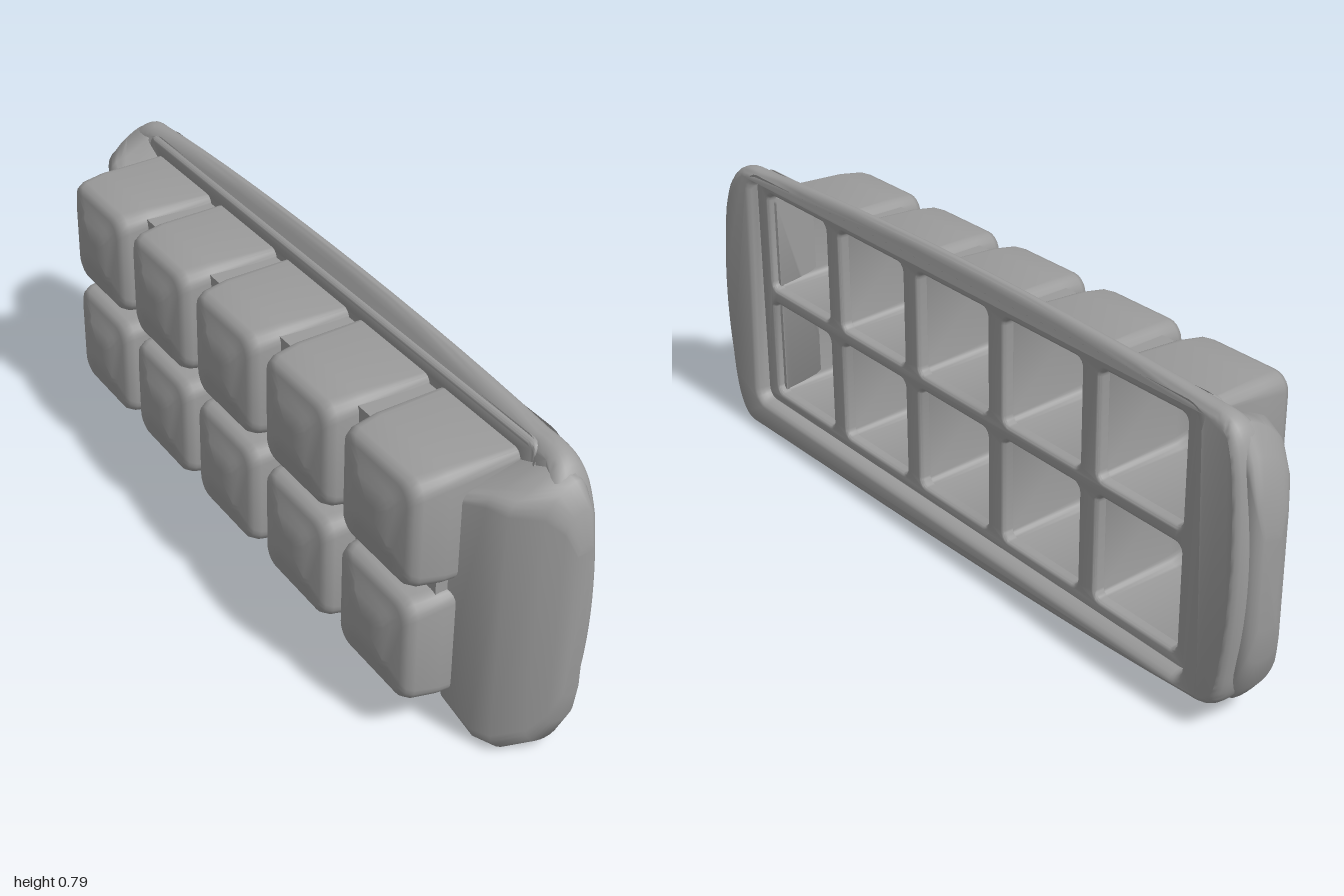
import * as THREE from 'three';
import { toCreasedNormals } from 'three/addons/utils/BufferGeometryUtils.js';

const material = new THREE.MeshStandardMaterial({ color: 0x9c9c9c, side: THREE.DoubleSide });
const clamp01 = t => THREE.MathUtils.clamp(t, 0, 1);

// Rounded rectangle as a loop of 2D points
function roundRect(cx, cy, hw, hh, r, n = 5) {
  const pts = [];
  const signs = [[1, 1], [-1, 1], [-1, -1], [1, -1]];
  signs.forEach(([sx, sy], q) => {
    for (let i = 0; i <= n; i++) {
      const a = (q + i / n) * Math.PI / 2;
      pts.push([cx + sx * (hw - r) + r * Math.cos(a), cy + sy * (hh - r) + r * Math.sin(a)]);
    }
  });
  return pts;
}

// Skin over equal-length rings, capped at both ends, always facing outward
function loft(rings, crease) {
  const n = rings[0].length;
  const pos = rings.flat(2);
  const idx = [];
  for (let i = 0; i < rings.length - 1; i++) {
    for (let j = 0; j < n; j++) {
      const a = i * n + j, b = i * n + (j + 1) % n;
      idx.push(a, b, a + n, b, b + n, a + n);
    }
  }
  const last = (rings.length - 1) * n;
  for (let j = 1; j < n - 1; j++) {
    idx.push(0, j + 1, j, last, last + j, last + j + 1);
  }
  let volume = 0;
  const [a, b, c] = [0, 1, 2].map(() => new THREE.Vector3());
  for (let k = 0; k < idx.length; k += 3) {
    [a, b, c].forEach((v, m) => v.fromArray(pos, idx[k + m] * 3));
    volume += a.dot(b.cross(c));
  }
  if (volume < 0) idx.reverse();
  const g = new THREE.BufferGeometry();
  g.setAttribute('position', new THREE.Float32BufferAttribute(pos, 3));
  g.setIndex(idx);
  return toCreasedNormals(g, crease);
}

function add(group, name, geometry) {
  const mesh = new THREE.Mesh(geometry, material);
  mesh.name = name;
  group.add(mesh);
  return mesh;
}

// Extrude a (-z, y) outline along +x from x0, with rounded edges
function extrudeX(shape, x0, depth, bevelThickness, bevelSize) {
  const g = new THREE.ExtrudeGeometry(shape, {
    depth, bevelThickness, bevelSize, bevelOffset: -bevelSize, bevelSegments: 4, curveSegments: 14,
  });
  g.rotateY(Math.PI / 2);
  g.translate(x0 + bevelThickness, 0, 0);
  return g;
}

const toPath = pts => new THREE.Path(pts.map(p => new THREE.Vector2(...p)));

export function createModel() {
  const tray = new THREE.Group();
  tray.name = 'iceCubeTray';
  const columns = [0.665, 0.338, 0.011, -0.316, -0.643];
  const rows = [0.257, 0.565];

  // Bowed rim with rounded ends
  const outline = new THREE.Shape();
  outline.moveTo(-0.88, 0.0);
  outline.bezierCurveTo(-0.5, 0.01, 0.3, 0.01, 0.86, 0.06);
  outline.bezierCurveTo(0.93, 0.06, 0.95, 0.1, 0.96, 0.17);
  outline.quadraticCurveTo(1.0, 0.4, 0.96, 0.64);
  outline.bezierCurveTo(0.94, 0.73, 0.92, 0.755, 0.85, 0.755);
  outline.bezierCurveTo(0.4, 0.80, -0.4, 0.80, -0.82, 0.755);
  outline.bezierCurveTo(-0.92, 0.76, -0.95, 0.73, -0.975, 0.62);
  outline.quadraticCurveTo(-1.0, 0.4, -0.975, 0.2);
  outline.bezierCurveTo(-0.97, 0.05, -0.94, 0.0, -0.88, 0.0);
  outline.holes.push(toPath(roundRect(-0.01, 0.412, 0.835, 0.318, 0.03)));
  const rim = extrudeX(outline, 0.085, 0.015, 0.04, 0.02);
  // The upper edge thins to a lip and the face bows outward at mid height
  const p = rim.attributes.position;
  for (let i = 0; i < p.count; i++) {
    const y = p.getY(i);
    const thin = 0.65 * clamp01((y - 0.69) / 0.09);
    const x = THREE.MathUtils.lerp(p.getX(i), 0.168, thin);
    p.setX(i, x + 0.002 - 0.018 * ((y - 0.3) / 0.45) ** 2);
  }
  add(tray, 'rim', toCreasedNormals(rim, 0.7));

  // Recessed grid plate with one opening per cube
  const plate = new THREE.Shape(toPath(roundRect(-0.01, 0.412, 0.85, 0.335, 0.03)).getPoints());
  for (const z of columns) for (const y of rows) {
    plate.holes.push(toPath(roundRect(-z, y, 0.133, 0.134, 0.02)));
  }
  add(tray, 'gridPlate', toCreasedNormals(extrudeX(plate, 0.09, 0.026, 0.012, 0.01), 0.7));

  // Webs joining neighbouring cups
  for (let i = 0; i < columns.length - 1; i++) {
    const web = add(tray, 'columnWeb', new THREE.BoxGeometry(0.19, 0.56, 0.055));
    web.position.set(0.005, 0.411, (columns[i] + columns[i + 1]) / 2);
  }
  add(tray, 'rowWeb', new THREE.BoxGeometry(0.19, 0.04, 1.56)).position.set(0.005, 0.411, 0.011);

  // Cup profile from the inner floor, over the lip, to the raised pad on the base:
  // x, half width, half height, corner radius
  const cupProfile = [
    [-0.13, 0.02, 0.02, 0.008], [-0.13, 0.095, 0.095, 0.03], [-0.115, 0.112, 0.112, 0.03],
    [-0.08, 0.119, 0.121, 0.025], [0.11, 0.132, 0.133, 0.02], [0.118, 0.138, 0.138, 0.02],
    [0.11, 0.146, 0.145, 0.02], [-0.08, 0.146, 0.143, 0.035], [-0.14, 0.14, 0.137, 0.04],
    [-0.157, 0.132, 0.13, 0.04], [-0.166, 0.116, 0.114, 0.04], [-0.169, 0.08, 0.08, 0.03],
    [-0.179, 0.068, 0.068, 0.025], [-0.18, 0.02, 0.02, 0.008],
  ];
  const cup = loft(cupProfile.map(([x, hz, hy, r]) =>
    roundRect(0, 0, hz, hy, r).map(([z, y]) => [x, y, z])), 0.9);
  const cups = new THREE.Group();
  cups.name = 'cubeCups';
  tray.add(cups);
  for (const z of columns) for (const y of rows) {
    add(cups, 'cubeCup', cup).position.set(0, y, z);
  }

  // Thick end handles tapering outward: z, x range, y range, corner radius
  const handles = {
    frontHandle: [
      [0.79, -0.06, 0.12, 0.08, 0.70, 0.03], [0.86, -0.028, 0.135, 0.003, 0.73, 0.04],
      [0.91, -0.01, 0.145, 0.002, 0.74, 0.05], [0.955, 0.05, 0.15, 0.03, 0.72, 0.045],
      [0.985, 0.08, 0.15, 0.1, 0.66, 0.03], [1.0, 0.105, 0.145, 0.18, 0.58, 0.018],
    ],
    backHandle: [
      [-0.77, -0.04, 0.12, 0.11, 0.71, 0.03], [-0.85, -0.025, 0.135, 0.065, 0.75, 0.05],
      [-0.92, 0.005, 0.145, 0.065, 0.75, 0.06], [-0.965, 0.03, 0.15, 0.12, 0.69, 0.055],
      [-0.99, 0.055, 0.145, 0.2, 0.6, 0.04], [-1.0, 0.08, 0.13, 0.28, 0.52, 0.02],
    ],
  };
  // The top of each handle slopes down away from the rim
  const slopeTop = (x, y) =>
    y < 0.4 ? y : 0.4 + (y - 0.4) * (0.83 + 0.17 * clamp01((x - 0.03) / 0.1));
  for (const [name, sections] of Object.entries(handles)) {
    add(tray, name, loft(sections.map(([z, x0, x1, y0, y1, r]) =>
      roundRect((x0 + x1) / 2, (y0 + y1) / 2, (x1 - x0) / 2, (y1 - y0) / 2, r)
        .map(([x, y]) => [x, slopeTop(x, y), z])), 1.1));
  }
  return tray;
}
